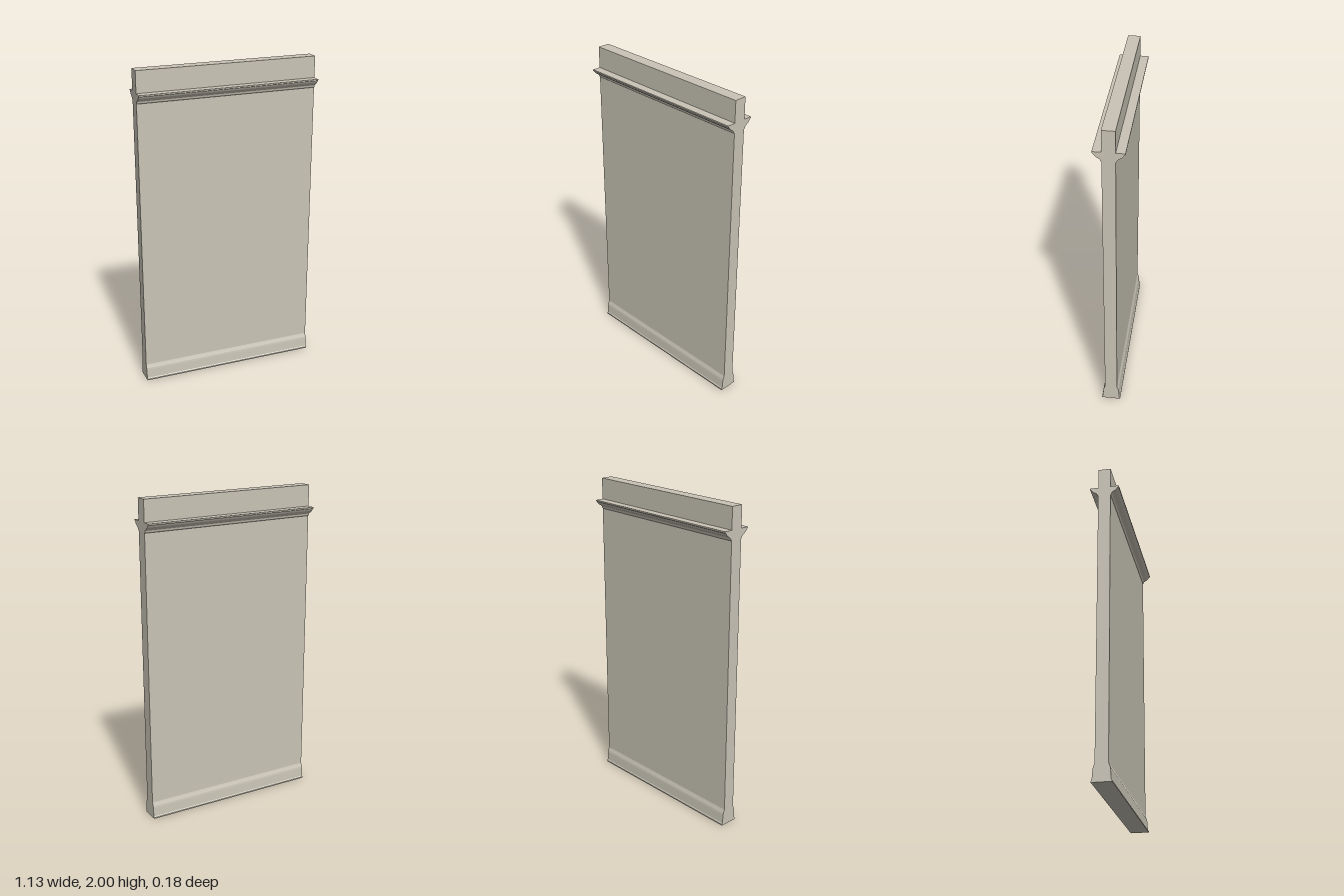
import * as THREE from 'three';

const WIDTH = 1.13;
const HEIGHT = 2;
const HALF_DEPTH = 0.038;

// Profiles as [distance from wall centre, height]
const CROWN = [
  [HALF_DEPTH, 1.807], [0.043, 1.812], [0.046, 1.822], [0.054, 1.829], [0.066, 1.836],
  [0.076, 1.845], [0.083, 1.856], [0.09, 1.86], [0.09, 1.868], [HALF_DEPTH, 1.868],
];
const BASE = [
  [HALF_DEPTH, 0], [0.058, 0], [0.058, 0.008], [0.053, 0.015], [0.049, 0.07],
  [0.047, 0.082], [0.043, 0.092], [0.04, 0.1], [HALF_DEPTH, 0.106],
];

// Extrudes a profile across the full width of the wall, facing +z
function mouldingGeometry(points) {
  const shape = new THREE.Shape(points.map(([d, y]) => new THREE.Vector2(d, y)));
  const geometry = new THREE.ExtrudeGeometry(shape, { depth: WIDTH, bevelEnabled: false });
  geometry.translate(0, 0, -WIDTH / 2);
  geometry.rotateY(-Math.PI / 2);
  return geometry;
}

export function createModel() {
  const model = new THREE.Group();
  model.name = 'wallPanel';

  const plaster = new THREE.MeshStandardMaterial({ color: 0xc9c4b6 });
  plaster.name = 'warm grey plaster';

  // Flat wall slab
  const wall = new THREE.Mesh(new THREE.BoxGeometry(WIDTH, HEIGHT, HALF_DEPTH * 2), plaster);
  wall.name = 'wall';
  wall.position.y = HEIGHT / 2;
  model.add(wall);

  // Picture rail and skirting on both faces
  for (const [name, profile] of [['pictureRail', CROWN], ['skirting', BASE]]) {
    const geometry = mouldingGeometry(profile);
    for (const side of ['Front', 'Back']) {
      const moulding = new THREE.Mesh(geometry, plaster);
      moulding.name = name + side;
      if (side === 'Back') moulding.rotation.y = Math.PI;
      model.add(moulding);
    }
  }
  return model;
}
